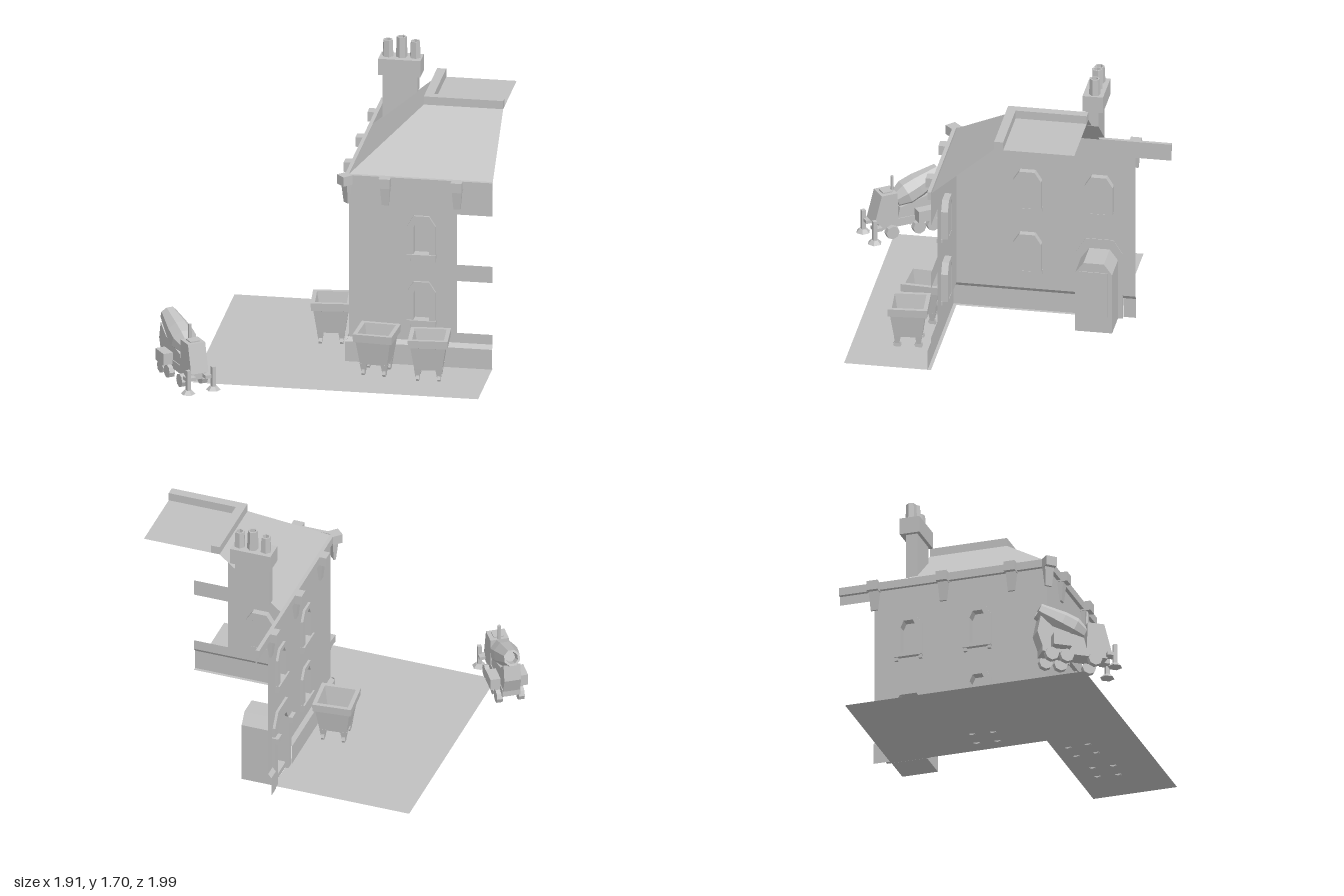
import * as THREE from 'three';

const stone = new THREE.MeshStandardMaterial({ color: 0xc0c0c0, flatShading: true, side: THREE.DoubleSide });
stone.name = 'plain grey';
const GROUND = 0.013;

function add(parent, name, geometry, x = 0, y = 0, z = 0) {
  const mesh = new THREE.Mesh(geometry, stone);
  mesh.name = name;
  mesh.position.set(x, y, z);
  parent.add(mesh);
  return mesh;
}

function group(parent, name, x = 0, y = 0, z = 0, turn = 0) {
  const g = new THREE.Group();
  g.name = name;
  g.position.set(x, y, z);
  g.rotation.y = turn;
  parent.add(g);
  return g;
}

// Box given by its two opposite corners
function block(parent, name, x0, x1, y0, y1, z0, z1) {
  return add(parent, name, new THREE.BoxGeometry(x1 - x0, y1 - y0, z1 - z0),
    (x0 + x1) / 2, (y0 + y1) / 2, (z0 + z1) / 2);
}

// Box standing on y = 0 whose lower end is scaled by sx, sz
function taper(w, h, d, sx, sz) {
  const g = new THREE.BoxGeometry(w, h, d).translate(0, h / 2, 0);
  const p = g.attributes.position;
  for (let i = 0; i < p.count; i++)
    if (p.getY(i) < h / 2) p.setXYZ(i, p.getX(i) * sx, 0, p.getZ(i) * sz);
  return g;
}

const points = list => list.map(([x, y]) => new THREE.Vector2(x, y));

// Flat face from corners listed counter-clockwise
function quad(...corners) {
  const g = new THREE.BufferGeometry().setFromPoints(corners.map(c => new THREE.Vector3(...c)));
  g.setIndex([0, 1, 2, 0, 2, 3]);
  g.computeVertexNormals();
  return g;
}

// Outline with cut corners at the head: centre, bottom, half width, shoulder, top half width, top
const arch = (c, y0, w, shoulder, tw, top) => points([
  [c - w, y0], [c + w, y0], [c + w, shoulder], [c + tw, top], [c - tw, top], [c - w, shoulder]]);

function extrude(outer, holes, depth) {
  const shape = new THREE.Shape(outer);
  for (const h of holes) shape.holes.push(new THREE.Path(h));
  return new THREE.ExtrudeGeometry(shape, { depth, bevelEnabled: false });
}

const windowOuter = (c, b) => arch(c, b, 0.083, b + 0.175, 0.045, b + 0.235);
const windowInner = (c, b) => arch(c, b, 0.046, b + 0.165, 0.028, b + 0.205);

// Recessed window in a facade whose outside is +z
function addWindow(wall, c, b) {
  const g = group(wall, 'window');
  add(g, 'windowFrame', extrude(windowOuter(c, b), [windowInner(c, b)], 0.055), 0, 0, -0.04);
  add(g, 'windowPane', new THREE.ShapeGeometry(new THREE.Shape(windowInner(c, b))), 0, 0, -0.038);
  block(g, 'windowSill', c - 0.085, c + 0.085, b - 0.025, b, -0.01, 0.025);
  for (const s of [-1, 1])
    block(g, 'sillBracket', c + s * 0.073 - 0.01, c + s * 0.073 + 0.01, b - 0.045, b - 0.025, 0, 0.018);
}

// Bracket beneath the eaves
function addBracket(parent, x, z = 0, turn = 0) {
  const g = group(parent, 'eavesBracket', x, 0, z, turn);
  block(g, 'bracketHead', -0.033, 0.033, 1.105, 1.163, 0, 0.062);
  const leg = taper(0.058, 0.115, 0.036, 0.7, 0.35);
  add(g, 'bracketLeg', leg, 0, 0.99, 0.018);
}

// Plinth skin with a sloping top
function addPlinth(wall, a, b) {
  add(wall, 'plinthFace', quad([a, GROUND, 0.02], [b, GROUND, 0.02], [b, 0.135, 0.02], [a, 0.135, 0.02]));
  add(wall, 'plinthSlope', quad([a, 0.135, 0.02], [b, 0.135, 0.02], [b, 0.16, 0], [a, 0.16, 0]));
}

function addFacade(wall, name, outline, windows) {
  const shape = new THREE.Shape(points(outline));
  for (const [c, b] of windows) {
    shape.holes.push(new THREE.Path(windowOuter(c, b)));
    addWindow(wall, c, b);
  }
  add(wall, name, new THREE.ShapeGeometry(shape));
}

function addDoorway(wall) {
  const c = -0.58, g = group(wall, 'doorway');
  const inner = arch(c, GROUND, 0.086, 0.375, 0.05, 0.43);
  add(g, 'doorSurround', extrude(arch(c, GROUND, 0.135, 0.43, 0.08, 0.515), [inner], 0.02), 0, 0, -0.004);
  const porch = arch(c, GROUND, 0.108, 0.39, 0.06, 0.455);
  add(g, 'porchLining', extrude(porch, [arch(c, GROUND + 0.002, 0.104, 0.388, 0.058, 0.451)], 0.195), 0, 0, -0.2);
  add(g, 'porchBack', new THREE.ShapeGeometry(new THREE.Shape(porch)), 0, 0, -0.2);
  block(g, 'door', c - 0.083, c + 0.083, 0.115, 0.4, -0.205, -0.196);
  for (const s of [-1, 1])
    block(g, 'doorCapital', c + s * 0.118 - 0.03, c + s * 0.118 + 0.03, 0.335, 0.37, 0, 0.04);
  for (let i = 0; i < 3; i++)
    block(g, 'doorStep', c - 0.1, c + 0.1, GROUND, 0.045 + i * 0.035, -0.198, -i * 0.05 - 0.005);
}

function addRoof(parent) {
  const g = group(parent, 'roof');
  const x0 = 0.105, x1 = 0.48, x2 = 0.945, y0 = 1.16, y1 = 1.475, z0 = 0.255, z1 = -0.11, z2 = -0.58;
  add(g, 'frontSlope', quad([x0, y0, z0], [x2, y0, z0], [x2, y1, z1], [x1, y1, z1]));
  add(g, 'sideSlope', quad([x0, y0, z2], [x0, y0, z0], [x1, y1, z1], [x1, y1, z2]));
  add(g, 'flatTop', quad([x1, y1, z1], [x2, y1, z1], [x2, y1, z2], [x1, y1, z2]));
  block(g, 'frontCurb', x1, x2, y1, 1.525, z1 - 0.053, z1);
  block(g, 'sideCurb', x1, x1 + 0.053, y1, 1.525, z2, z1 - 0.053);
}

function addChimney(parent) {
  const g = group(parent, 'chimney');
  const stack = points([[0.165, 1.205], [0.37, 1.38], [0.37, 1.48], [0.165, 1.48]]);
  add(g, 'chimneyStack', extrude(stack, [], 0.07), 0, 0, -0.62);
  block(g, 'chimneyCap', 0.143, 0.39, 1.48, 1.58, -0.65, -0.53);
  [0.19, 0.27, 0.35].forEach((x, i) => {
    const h = i === 1 ? 0.122 : 0.1;
    const wall = points([[0.018, 0.03], [0.02, h], [0.029, h], [0.034, 0]]);
    add(g, 'chimneyPot', new THREE.LatheGeometry(wall, 6), x, 1.58, -0.595).rotation.y = 0.3 + i * 0.5;
  });
}

function addBin(parent, x, z, turn) {
  const g = group(parent, 'wasteBin', x, 0, z, turn);
  // Square lathe gives body, rim and hollow inside in one skin
  const r = Math.SQRT2;
  const skin = points([[0, 0.08], [0.08 * r, 0.08], [0.101 * r, 0.22], [0.114 * r, 0.225],
    [0.116 * r, 0.272], [0.092 * r, 0.272], [0.066 * r, 0.115], [0, 0.115]]);
  add(g, 'binBody', new THREE.LatheGeometry(skin, 4).rotateY(Math.PI / 4));
  for (const sx of [-1, 1]) for (const sz of [-1, 1]) {
    add(g, 'casterFork', taper(0.04, 0.05, 0.04, 0.6, 0.6), sx * 0.062, 0.035, sz * 0.062);
    const wheel = new THREE.CylinderGeometry(0.024, 0.024, 0.018, 8).rotateZ(Math.PI / 2);
    add(g, 'casterWheel', wheel, sx * 0.062, 0.026, sz * 0.062);
  }
}

function addMixer(parent) {
  const g = group(parent, 'concreteMixer', -0.79, 0, 0.713, 0.607);
  block(g, 'chassis', -0.055, 0.055, 0.075, 0.125, -0.19, 0.2);
  // Tilted drum, high mouth at the rear
  const drum = points([[0, 0], [0.05, 0], [0.078, 0.07], [0.075, 0.15], [0.05, 0.3], [0.036, 0.3], [0.03, 0.25], [0, 0.25]]);
  add(g, 'drum', new THREE.LatheGeometry(drum, 8).rotateY(Math.PI / 8), 0, 0.225, 0.07).rotation.x = -1.15;
  const cradle = points([[0.19, 0.11], [0.22, 0.2], [0.2, 0.3], [0.13, 0.24], [-0.06, 0.19], [-0.08, 0.11]]);
  add(g, 'drumCradle', extrude(cradle, [], 0.1).translate(0, 0, -0.05).rotateY(Math.PI / 2));
  // Cab with sloping windscreen
  const cab = points([[-0.075, 0.11], [-0.08, 0.29], [-0.18, 0.29], [-0.225, 0.12]]);
  add(g, 'cab', extrude(cab, [], 0.11).translate(0, 0, -0.055).rotateY(Math.PI / 2));
  block(g, 'roofHatch', -0.03, 0.03, 0.29, 0.297, 0.1, 0.16);
  add(g, 'exhaustPipe', new THREE.CylinderGeometry(0.01, 0.012, 0.13, 6), 0, 0.315, 0.09);
  for (const s of [-1, 1]) {
    const fender = block(g, 'fender', -0.03, 0.03, 0.1, 0.17, -0.14, -0.03);
    fender.position.x = s * 0.082;
    for (const z of [-0.14, -0.05, 0.12])
      add(g, 'wheel', new THREE.CylinderGeometry(0.041, 0.041, 0.035, 8).rotateZ(Math.PI / 2), s * 0.065, 0.054, z);
    block(g, 'outriggerArm', s * 0.06 - 0.03, s * 0.06 + 0.03, 0.085, 0.105, 0.19, 0.24);
    block(g, 'outriggerLeg', s * 0.08 - 0.012, s * 0.08 + 0.012, 0.02, 0.155, 0.225, 0.249);
    add(g, 'outriggerFoot', new THREE.CylinderGeometry(0.022, 0.043, 0.022, 6), s * 0.08, 0.024, 0.237);
  }
}

export function createModel() {
  const model = new THREE.Group();
  model.name = 'houseYard';

  // L-shaped yard wrapped around the house corner
  const yard = points([[-0.725, -0.77], [0.945, -0.77], [0.945, -0.26], [0.105, -0.26], [0.105, 0.69], [-0.725, 0.69]]);
  add(model, 'yard', new THREE.ShapeGeometry(new THREE.Shape(yard)).rotateX(-Math.PI / 2), 0, GROUND, 0);

  // Front facade, with two gaps at its outer end
  const front = group(model, 'frontWall', 0, 0, 0.26);
  addFacade(front, 'frontFacade', [[0.105, 0.16], [0.945, 0.16], [0.945, 0.22], [0.735, 0.22], [0.735, 0.54],
    [0.945, 0.54], [0.945, 0.64], [0.735, 0.64], [0.735, 0.95], [0.945, 0.95], [0.945, 1.16], [0.105, 1.16]],
  [[0.53, 0.29], [0.53, 0.695]]);
  addPlinth(front, 0.085, 0.945);
  block(front, 'frontCornice', 0.083, 0.945, 1.115, 1.163, 0, 0.022);
  for (const x of [0.32, 0.74]) addBracket(front, x);

  // Side facade, turned so its outside faces -x
  const side = group(model, 'sideWall', 0.105, 0, 0, -Math.PI / 2);
  addFacade(side, 'sideFacade', [[0.26, 0.16], [0.26, 1.16], [-1, 1.16], [-1, 1.06], [-0.79, 1.06], [-0.79, 0.16],
    [-0.715, 0.16], [-0.715, 0.43], [-0.66, 0.515], [-0.5, 0.515], [-0.445, 0.43], [-0.445, 0.16]],
  [[-0.16, 0.29], [-0.16, 0.695], [-0.58, 0.695]]);
  addPlinth(side, -0.445, 0.28);
  addPlinth(side, -0.79, -0.715);
  block(side, 'sideCornice', -1, 0.26, 1.115, 1.163, 0, 0.022);
  for (const z of [0.05, -0.365, -0.785]) addBracket(side, z);
  addDoorway(side);
  addBracket(model, 0.105, 0.26, -Math.PI / 4);

  addRoof(model);
  addChimney(model);
  addBin(model, -0.05, -0.065, 0.1);
  addBin(model, 0.292, 0.413, -0.07);
  addBin(model, 0.606, 0.448, 0.08);
  addMixer(model);
  return model;
}
